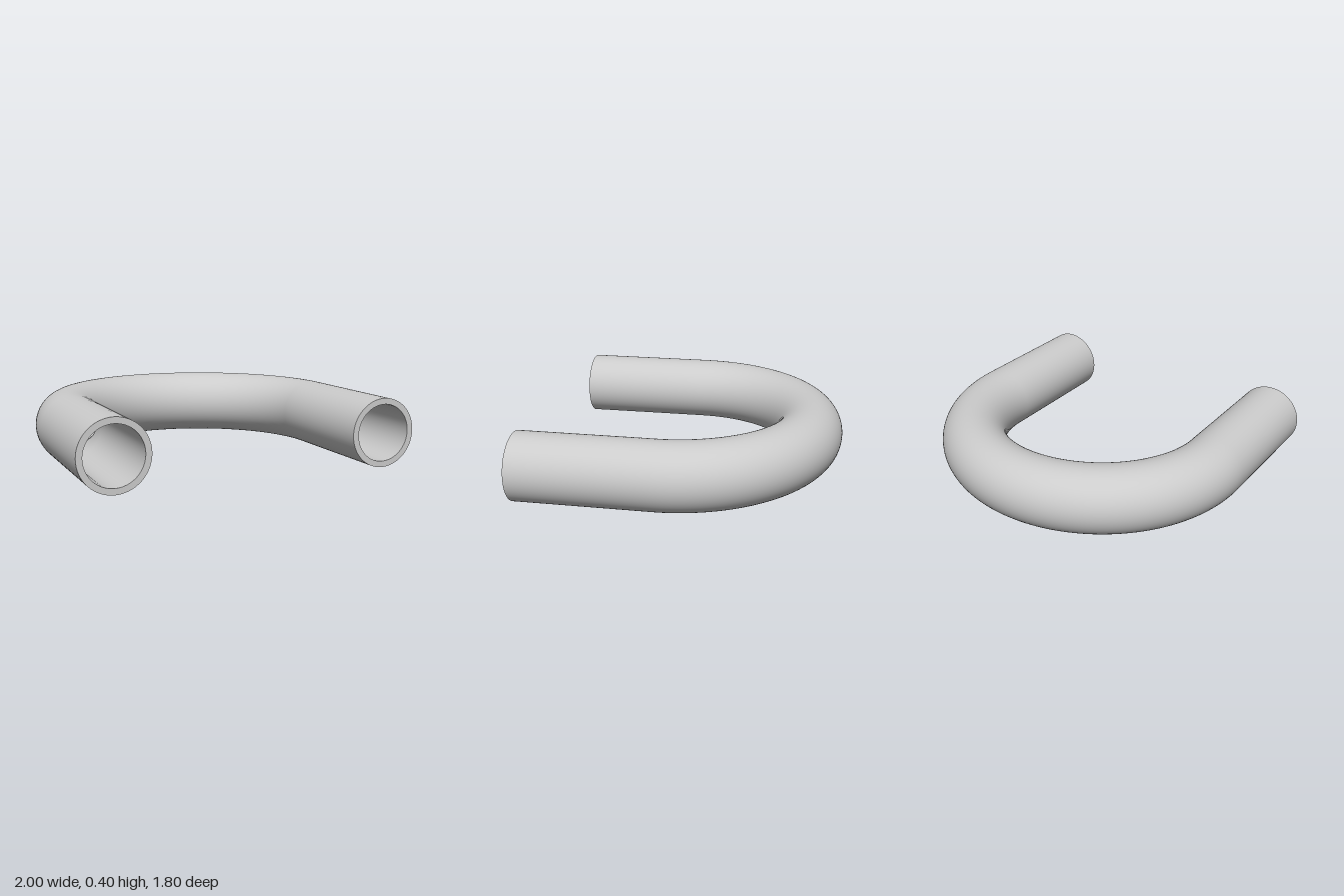
import * as THREE from 'three';

const BEND_RADIUS = 0.8, OUTER = 0.2, BORE = 0.165;
const BEND_Z = 0.1, END_Z = 0.897, SIDES = 64;

export function createModel() {
  const model = new THREE.Group();
  model.name = 'uBendPipe';
  const outside = new THREE.MeshStandardMaterial({ color: 0xcccccc });
  const inside = new THREE.MeshStandardMaterial({ color: 0xcccccc, side: THREE.DoubleSide });

  const add = (name, geometry, material, x, z) => {
    const mesh = new THREE.Mesh(geometry, material);
    mesh.name = name;
    mesh.position.set(x, OUTER, z);
    model.add(mesh);
  };

  // Outer wall and bore: a half-circle bend continued by two straight legs
  const length = END_Z - BEND_Z;
  for (const [part, radius, material] of [['outerWall', OUTER, outside], ['bore', BORE, inside]]) {
    const bend = new THREE.TorusGeometry(BEND_RADIUS, radius, SIDES, 96, Math.PI).rotateX(-Math.PI / 2);
    add(part + 'Bend', bend, material, 0, BEND_Z);
    for (const [side, s] of [['left', 1], ['right', -1]]) {
      const leg = new THREE.CylinderGeometry(radius, radius, length, SIDES, 1, true).rotateX(Math.PI / 2);
      add(`${side}Leg ${part}`, leg, material, s * BEND_RADIUS, BEND_Z + length / 2);
    }
  }

  // Flat rims closing the wall thickness at the open ends
  for (const [side, s] of [['left', 1], ['right', -1]]) {
    add(side + 'Rim', new THREE.RingGeometry(BORE, OUTER, SIDES), inside, s * BEND_RADIUS, END_Z);
  }
  return model;
}
